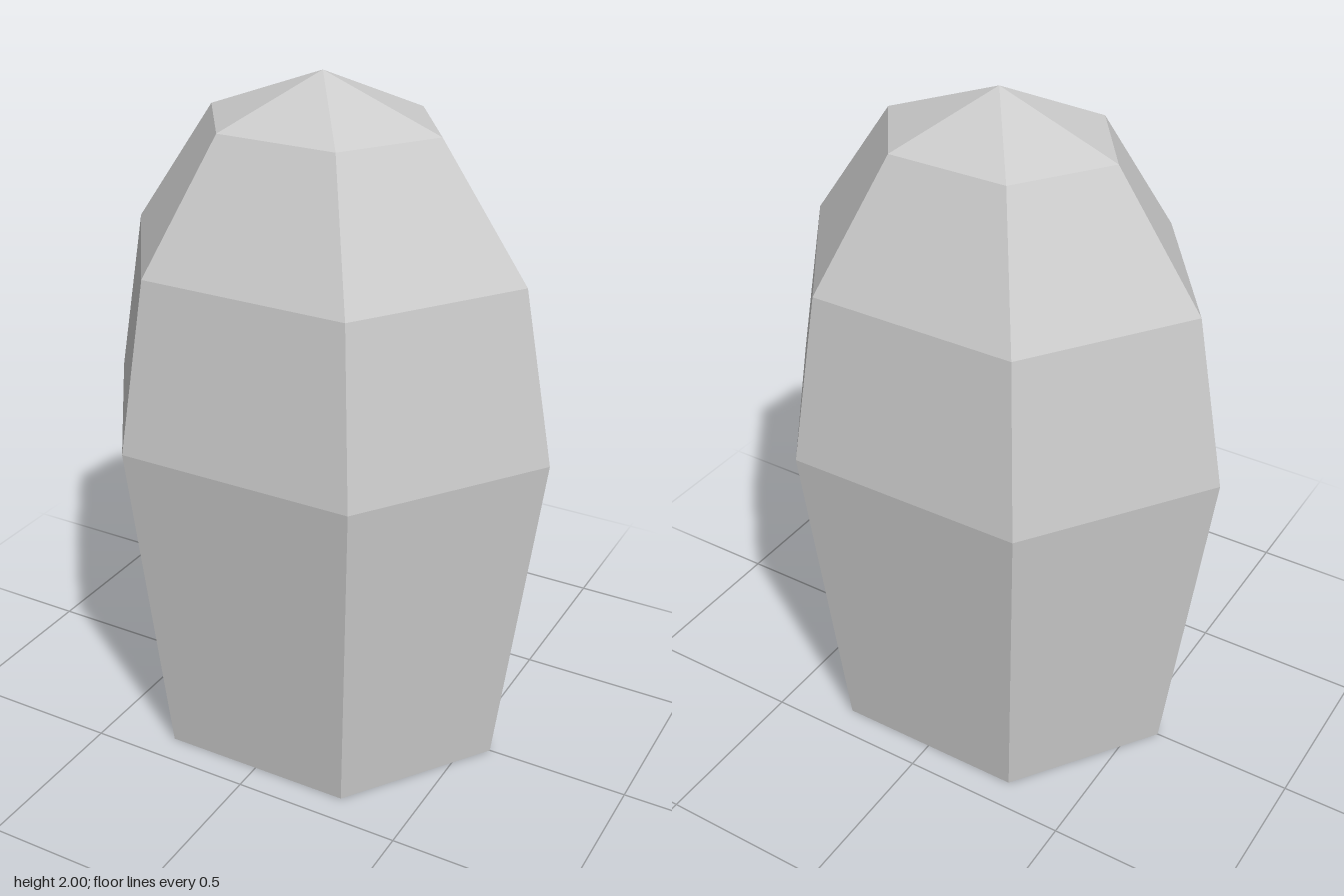
import * as THREE from 'three';

const WIDTH = 0.703; // half width at the widest ring
const DEPTH_SCALE = 0.828; // hexagon flattened front to back

export function createModel() {
  const group = new THREE.Group();
  group.name = 'facetedStone';

  // Profile: closed flat base, tapering foot, rounded dome to a point
  const profile = [new THREE.Vector2(0, 0), new THREE.Vector2(0.576, 0)];
  for (const degrees of [0, 30, 60, 90]) {
    const a = THREE.MathUtils.degToRad(degrees);
    profile.push(new THREE.Vector2(degrees === 90 ? 0 : WIDTH * Math.cos(a), 1 + Math.sin(a)));
  }

  // Six-sided body with corners on the left and right
  const lathe = new THREE.LatheGeometry(profile, 6, Math.PI / 2);
  lathe.scale(1, 1, DEPTH_SCALE);
  const geometry = lathe.toNonIndexed();
  geometry.computeVertexNormals();

  const body = new THREE.Mesh(
    geometry,
    new THREE.MeshStandardMaterial({ color: 0xcccccc, flatShading: true })
  );
  body.name = 'body';
  group.add(body);
  return group;
}
